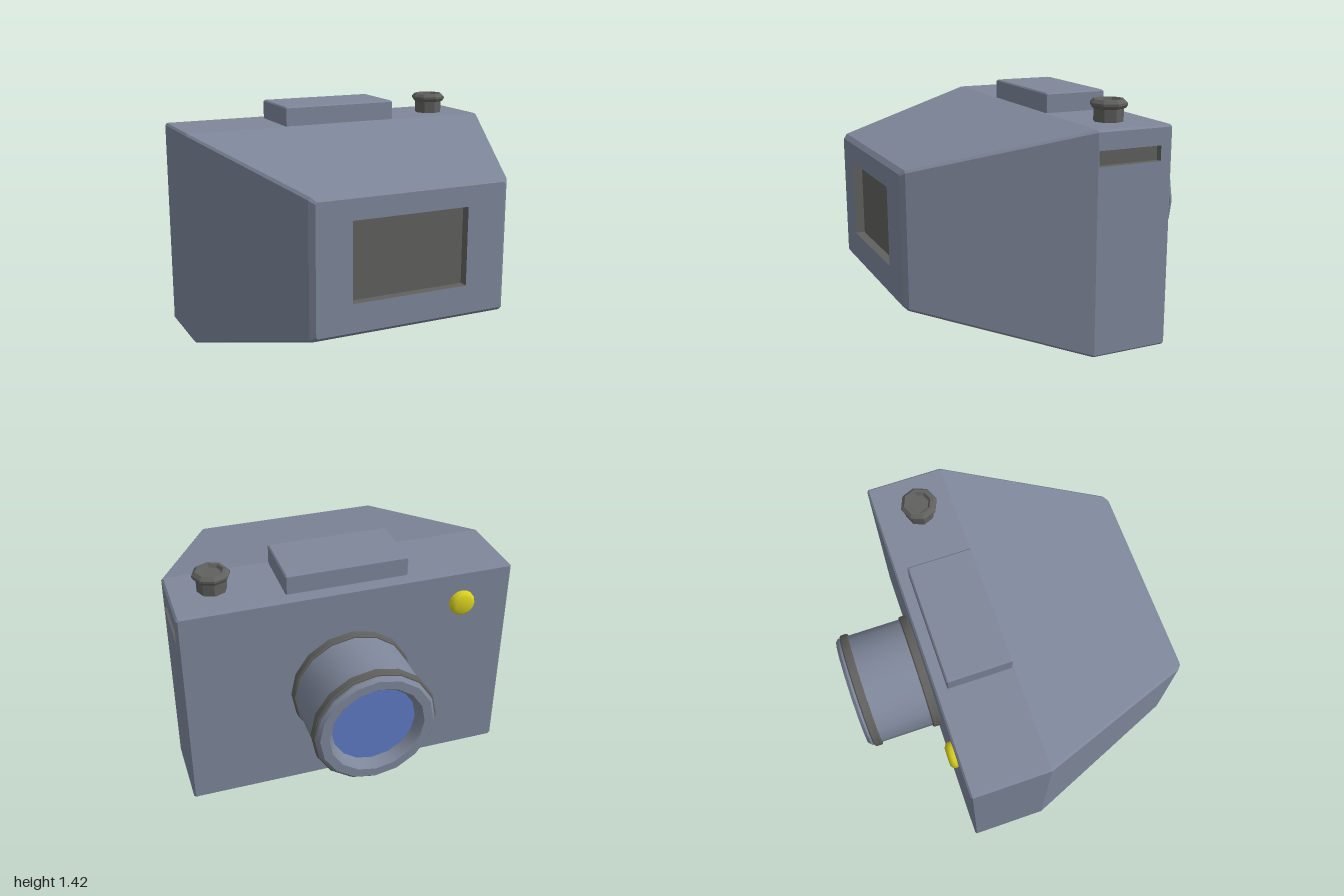
import * as THREE from 'three';
import { mergeGeometries, toCreasedNormals } from 'three/addons/utils/BufferGeometryUtils.js';

const mat = (color) => new THREE.MeshStandardMaterial({ color });
const paint = mat(0x7e879a), dark = mat(0x60605f), yellow = mat(0xd8d020), blue = mat(0x5f7cc8);

// Rectangle with small cut corners, counter-clockwise
const rect = (x0, x1, y0, y1, c) => [
  [x0 + c, y0], [x1 - c, y0], [x1, y0 + c], [x1, y1 - c],
  [x1 - c, y1], [x0 + c, y1], [x0, y1 - c], [x0, y0 + c],
].map(([x, y]) => new THREE.Vector2(x, y));

// Walls between successive loops { z, pts }; skip(section, side) leaves an opening
function loft(loops, skip = () => false) {
  const pos = [];
  for (let s = 0; s + 1 < loops.length; s++) {
    const A = loops[s], B = loops[s + 1], n = A.pts.length;
    for (let i = 0; i < n; i++) {
      if (skip(s, i)) continue;
      const j = (i + 1) % n;
      const p = [[A, i], [A, j], [B, j], [B, i]].map(([L, k]) => [L.pts[k].x, L.pts[k].y, L.z]);
      for (const k of [0, 1, 2, 0, 2, 3]) pos.push(...p[k]);
    }
  }
  const g = new THREE.BufferGeometry();
  g.setAttribute('position', new THREE.Float32BufferAttribute(pos, 3));
  g.computeVertexNormals();
  return g;
}

// Flat panel with an optional opening
function panel(pts, hole) {
  const shape = new THREE.Shape(pts);
  if (hole) shape.holes.push(new THREE.Path(hole));
  const g = new THREE.ShapeGeometry(shape).toNonIndexed();
  g.deleteAttribute('uv');
  return g;
}

// Open box sunk behind an opening in the z = 0 plane
const pocket = (pts, depth) => mergeGeometries([
  loft([{ z: 0, pts }, { z: -depth, pts }]),
  panel(pts).translate(0, 0, -depth),
]);

function turned(points, sides, crease = 0.5) {
  const g = new THREE.LatheGeometry(points.map(([r, y]) => new THREE.Vector2(r, y)), sides);
  return toCreasedNormals(g, crease);
}

export function createModel() {
  const group = new THREE.Group();
  const add = (name, geometry, material, x = 0, y = 0, z = 0) => {
    const mesh = new THREE.Mesh(geometry, material);
    mesh.name = name;
    mesh.position.set(x, y, z);
    group.add(mesh);
    return mesh;
  };

  // Body: straight rear block tapering to an offset front face
  const kink = -0.015, back = -0.483, front = 0.957;
  const loops = [
    { z: back, pts: rect(-0.99, 0.99, 0.01, 1.29, 0.008) },
    { z: back + 0.01, pts: rect(-1, 1, 0, 1.3, 0.012) },
    { z: kink, pts: rect(-1, 1, 0, 1.3, 0.012) },
    { z: 0.932, pts: rect(-0.632, 0.594, 0.29, 1.088, 0.015) },
    { z: front, pts: rect(-0.603, 0.567, 0.313, 1.063, 0.01) },
  ];
  const windowHole = rect(-0.388, 0.328, 0.48, 0.943, 0.003);
  const slotHole = rect(0.02, 0.41, 1.1, 1.188, 0.002);
  const sidePts = [[-kink, 0.012], [-back - 0.01, 0.012], [-back - 0.01, 1.288], [-kink, 1.288]]
    .map(([x, y]) => new THREE.Vector2(x, y));
  add('body', mergeGeometries([
    loft(loops, (s, i) => s === 1 && i === 2),
    panel(loops[4].pts, windowHole).translate(0, 0, front),
    panel(loops[0].pts.map((p) => new THREE.Vector2(-p.x, p.y))).rotateY(Math.PI).translate(0, 0, back),
    panel(sidePts, slotHole).rotateY(Math.PI / 2).translate(1, 0, 0),
  ]), paint);

  // Sunken screen on the front and card slot on the left side
  add('screen', pocket(windowHole, 0.055), dark, 0, 0, front);
  add('cardSlot', pocket(slotHole, 0.04).rotateY(Math.PI / 2), dark, 1, 0, 0);

  // Raised block on top
  const block = (a, y) => ({ z: y, pts: rect(-0.37 + a, 0.365 - a, 0.02 + a, 0.41 - a, 0.006) });
  const hump = [block(0, 0), block(0, 0.112), block(0.008, 0.12)];
  add('topBlock', mergeGeometries([loft(hump), panel(hump[2].pts).translate(0, 0, 0.12)])
    .rotateX(-Math.PI / 2), paint, 0, 1.298, 0);

  // Eight-sided knob with a dished cap
  add('knob', turned([
    [0.088, 0], [0.088, 0.075], [0.1, 0.08], [0.11, 0.095], [0.11, 0.108],
    [0.09, 0.127], [0.072, 0.127], [0.06, 0.108], [0, 0.108],
  ], 8, 0.4), dark, 0.745, 1.298, -0.22);

  // Lens barrel, collars and glass, all turned about an axis pointing backwards
  const onBack = (g) => g.rotateX(-Math.PI / 2);
  const lensY = 0.66;
  add('lensBarrel', onBack(turned([
    [0.355, 0], [0.355, 0.455], [0.338, 0.472], [0.285, 0.472], [0.27, 0.455], [0.25, 0.4],
  ], 16)), paint, 0, lensY, back);
  for (const [name, z] of [['innerCollar', 0], ['outerCollar', 0.387]]) {
    add(name, onBack(turned([
      [0.35, 0], [0.362, 0], [0.37, 0.007], [0.37, 0.047], [0.362, 0.054], [0.35, 0.054],
    ], 16)), dark, 0, lensY, back - z);
  }
  add('lensGlass', onBack(turned([[0.255, 0.405], [0, 0.405]], 16)), blue, 0, lensY, back);

  // Rounded shutter button
  add('button', onBack(turned([
    [0.078, 0], [0.078, 0.018], [0.07, 0.034], [0.052, 0.043], [0, 0.043],
  ], 16, 0.9)), yellow, -0.69, 1.1, back);

  return group;
}
